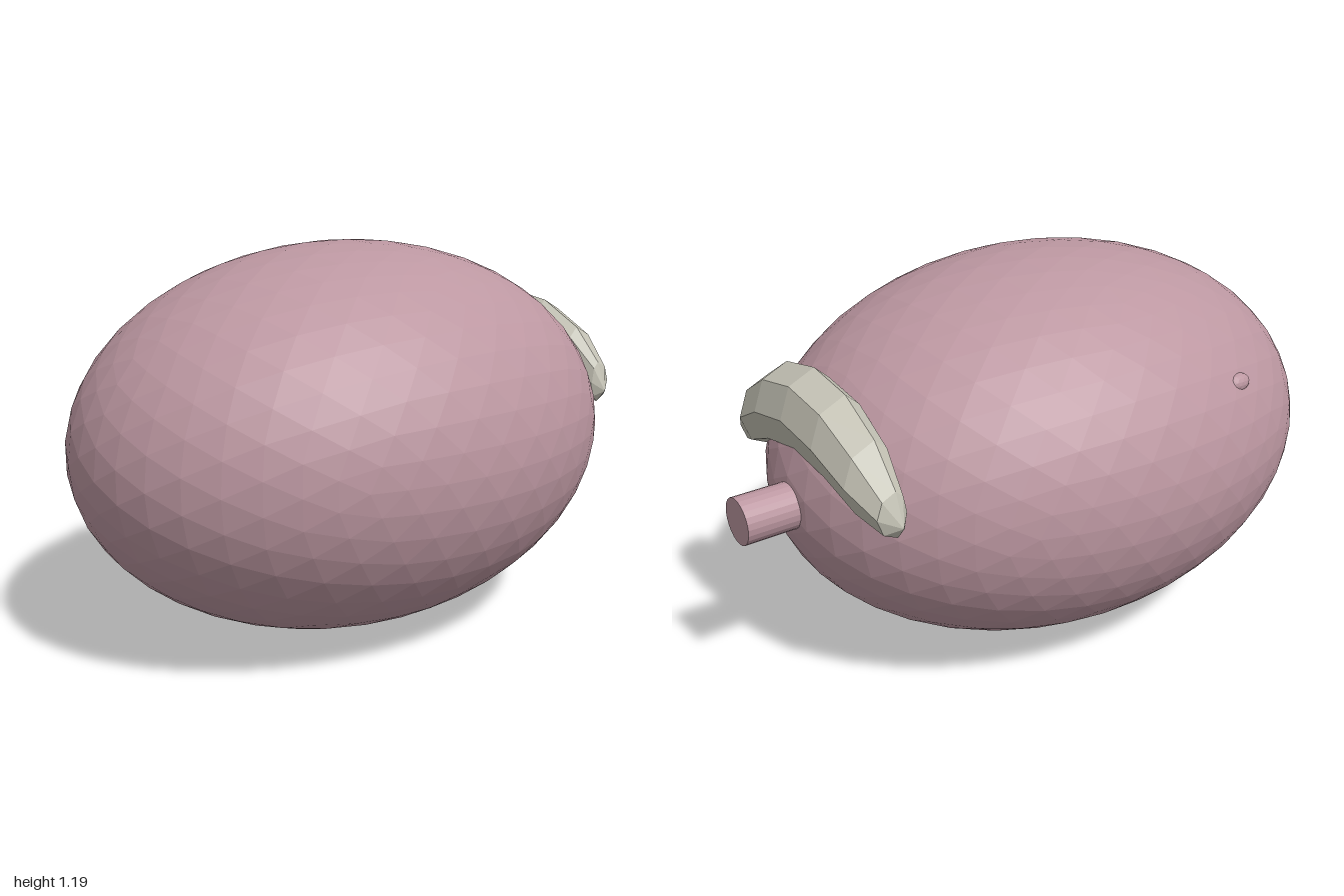
import * as THREE from 'three';

export function createModel() {
  const model = new THREE.Group();
  const rose = new THREE.MeshStandardMaterial({ color: 0xbc97a1, flatShading: true });
  rose.name = 'dusty rose';
  const stone = new THREE.MeshStandardMaterial({ color: 0xc4c2b5, flatShading: true });
  stone.name = 'pale stone';

  const add = (name, geometry, material, x, y, z) => {
    const mesh = new THREE.Mesh(geometry, material);
    mesh.name = name;
    mesh.position.set(x, y, z);
    model.add(mesh);
    return mesh;
  };

  // Egg-shaped faceted body
  const body = new THREE.IcosahedronGeometry(1, 7);
  body.scale(0.702, 0.597, 0.925);
  add('body', body, rose, 0, 0.6, 0.075);

  // Short round stub at the back
  const stub = new THREE.CylinderGeometry(0.07, 0.07, 0.24, 24);
  stub.rotateX(Math.PI / 2);
  add('backStub', stub, rose, 0, 0.6, -0.88);

  // Tiny nub barely breaking the surface of one side
  const nub = new THREE.IcosahedronGeometry(1, 2);
  nub.scale(0.03, 0.03, 0.05);
  add('sideNub', nub, rose, -0.575, 0.86, 0.35);

  // Drooping crescent: a low-poly rod along x, blunt at the ends and bent down
  const crescent = new THREE.SphereGeometry(1, 8, 8);
  crescent.rotateZ(Math.PI / 2);
  const p = crescent.attributes.position;
  for (let i = 0; i < p.count; i++) {
    const t = THREE.MathUtils.clamp(p.getX(i), -1, 1);
    const round = Math.sqrt(Math.max(0, 1 - t * t));
    const blunt = Math.sqrt(Math.max(0, 1 - t ** 4));
    const k = round > 1e-4 ? blunt / round : 0;
    const back = p.getZ(i) < 0 ? 0.115 : 0.06;
    p.setXYZ(i, t * 0.43, p.getY(i) * k * 0.13 - 0.19 * t * t, p.getZ(i) * k * back);
  }
  crescent.computeVertexNormals();
  add('backCrescent', crescent, stone, 0, 0.86, -0.73);

  return model;
}
